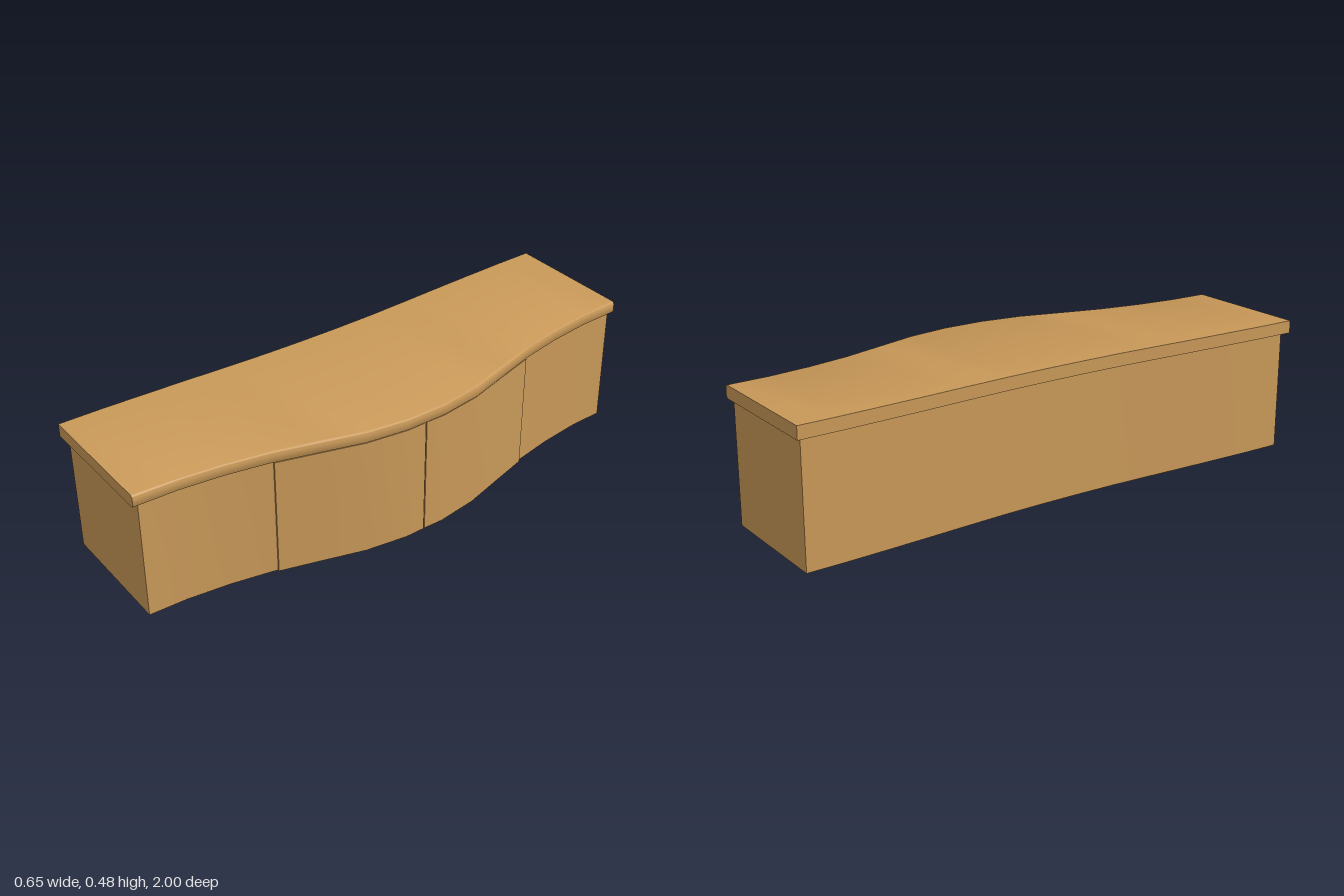
import * as THREE from 'three';
import { toCreasedNormals } from 'three/addons/utils/BufferGeometryUtils.js';

// Plan curves, sampled at 14 even stations along z (half listed, middle to end)
const FRONT = [0.324, 0.302, 0.258, 0.214, 0.184, 0.165, 0.159];
const BACK = [-0.291, -0.294, -0.301, -0.309, -0.316, -0.322, -0.325];
const STATIONS = Array.from({ length: 14 }, (_, i) => -1 + (2 * i) / 13);
const BODY_END = 0.98, SEAM = 0.527, TOP_Y = 0.484, BODY_Y = 0.438;

function sample(list, z) {
  const t = (Math.abs(z) * 13 - 1) / 2;
  if (t <= 0) return list[0];
  const i = Math.min(Math.floor(t), list.length - 2);
  return THREE.MathUtils.lerp(list[i], list[i + 1], t - i);
}

// Closed loft through rings of equal length, ordered along +z, counter-clockwise seen from +z
function loft(rings) {
  const n = rings[0].length, pos = rings.flat(2), index = [];
  for (let r = 0; r < rings.length - 1; r++) {
    for (let i = 0; i < n; i++) {
      const a = r * n + i, b = r * n + ((i + 1) % n);
      index.push(a, b, b + n, a, b + n, a + n);
    }
  }
  const last = (rings.length - 1) * n;
  for (let i = 1; i < n - 1; i++) {
    index.push(0, i + 1, i);
    index.push(last, last + i, last + i + 1);
  }
  // Rings run counter-clockwise, so side faces above point outward
  for (let k = 0; k < index.length; k += 3) {
    const side = k < (rings.length - 1) * n * 6;
    if (side) continue;
  }
  const g = new THREE.BufferGeometry();
  g.setAttribute('position', new THREE.Float32BufferAttribute(pos, 3));
  g.setIndex(index);
  return toCreasedNormals(g, 0.6);
}

// Worktop section: square back edge, rounded front edge
function topRing(z) {
  const f = sample(FRONT, z), b = sample(BACK, z), r = 0.011, ring = [[b, TOP_Y, z], [b, BODY_Y, z]];
  for (const [cy, start] of [[BODY_Y + r, -Math.PI / 2], [TOP_Y - r, 0]]) {
    for (let i = 0; i <= 4; i++) {
      const a = start + (i * Math.PI) / 8;
      ring.push([f - r + r * Math.cos(a), cy + r * Math.sin(a), z]);
    }
  }
  return ring;
}

// Body plan: recessed side panels, proud middle doors and a fine gap between them
function bodyShape() {
  const zs = [...STATIONS.slice(1, -1), -BODY_END, BODY_END].sort((a, b) => a - b);
  const front = [];
  const add = (z, inset) => front.push(new THREE.Vector2(sample(FRONT, z) - inset, -z));
  for (const z of zs) if (z < -SEAM) add(z, 0.01);
  add(-SEAM, 0.01);
  add(-SEAM, 0.004);
  for (const z of zs) if (z > -SEAM && z < 0) add(z, 0.005);
  for (const [z, inset] of [[-0.002, 0.006], [-0.002, 0.014], [0.002, 0.014], [0.002, 0.006]]) add(z, inset);
  for (const z of zs) if (z > 0 && z < SEAM) add(z, 0.005);
  add(SEAM, 0.004);
  add(SEAM, 0.01);
  for (const z of zs) if (z > SEAM) add(z, 0.01);
  const back = zs.reverse().map((z) => new THREE.Vector2(sample(BACK, z) + 0.023, -z));
  return new THREE.Shape([...front, ...back]);
}

export function createModel() {
  const group = new THREE.Group();
  group.name = 'curvedCounter';
  const wood = new THREE.MeshStandardMaterial({ color: 0xc89858 });

  const bodyGeometry = new THREE.ExtrudeGeometry(bodyShape(), { depth: BODY_Y, bevelEnabled: false });
  bodyGeometry.rotateX(-Math.PI / 2);
  const body = new THREE.Mesh(toCreasedNormals(bodyGeometry, 0.6), wood);
  body.name = 'cabinetBody';

  const top = new THREE.Mesh(loft(STATIONS.map(topRing)), wood);
  top.name = 'worktop';

  group.add(body, top);
  return group;
}
